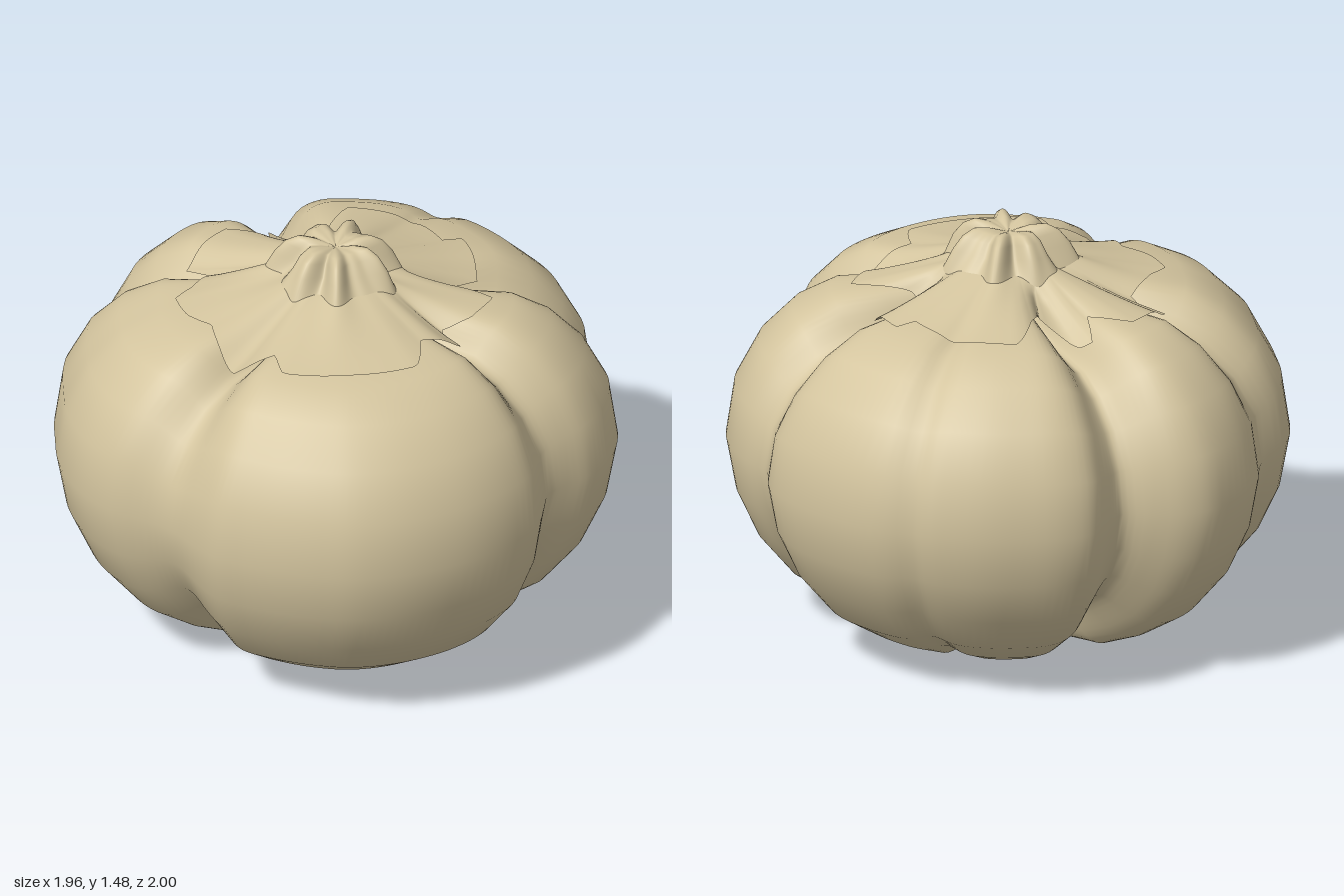
import * as THREE from 'three';

// Plan outline (x, z) of the lobed bulb at its widest height, from the front round past +x
const OUTLINE = [
  [0, 1], [0.15, 0.99], [0.3, 0.95], [0.45, 0.88], [0.58, 0.78], [0.66, 0.68], [0.69, 0.56], [0.71, 0.48],
  [0.78, 0.42], [0.87, 0.36], [0.93, 0.28], [0.97, 0.17], [0.98, 0.05], [0.96, -0.06], [0.92, -0.15], [0.9, -0.2],
  [0.92, -0.34], [0.87, -0.49], [0.76, -0.66], [0.62, -0.8], [0.52, -0.85], [0.46, -0.89], [0.3, -0.96],
  [0.15, -0.99], [0, -1], [-0.11, -0.97], [-0.19, -0.87], [-0.24, -0.82], [-0.34, -0.84], [-0.46, -0.86],
  [-0.56, -0.84], [-0.68, -0.74], [-0.76, -0.62], [-0.79, -0.51], [-0.82, -0.44], [-0.93, -0.3], [-0.97, -0.16],
  [-0.98, 0], [-0.98, 0.13], [-0.95, 0.27], [-0.9, 0.38], [-0.82, 0.48], [-0.7, 0.56], [-0.62, 0.63],
  [-0.55, 0.73], [-0.48, 0.82], [-0.38, 0.88], [-0.25, 0.94], [-0.12, 0.98],
];
// Side profile (radius factor, y), bottom to top
const PROFILE = [
  [0, 0.05], [0.1, 0.045], [0.2, 0.015], [0.3, 0.003], [0.46, 0.025], [0.62, 0.1], [0.77, 0.2], [0.89, 0.345], [0.965, 0.51],
  [1, 0.7], [0.97, 0.9], [0.885, 1.06], [0.765, 1.18], [0.63, 1.25], [0.45, 1.27], [0.25, 1.275], [0, 1.275],
];
// Grooves between lobes: angle from the front, depth, half width in degrees
const GROOVES = [[56, 0.8, 8], [102, 0.9, 8], [148, 0.2, 5], [196, 1, 9], [242, 0.75, 8], [315, 0.8, 8]];
// Ragged edge of the papery cap: angle, radius
const CAP_EDGE = [
  [0, 0.56], [26, 0.57], [37, 0.45], [54, 0.52], [58, 0.41], [67, 0.5], [82, 0.55], [93, 0.35], [100, 0.32],
  [104, 0.52], [125, 0.57], [128, 0.5], [150, 0.56], [172, 0.57], [180, 0.4], [192, 0.26], [197, 0.5],
  [202, 0.53], [208, 0.43], [218, 0.57], [242, 0.57], [245, 0.43], [263, 0.5], [270, 0.56], [283, 0.54],
  [294, 0.49], [318, 0.57], [330, 0.48], [337, 0.57], [360, 0.56],
];
const SEGMENTS = 196;

// Linear look-up in a table of [key, value] pairs with rising keys
function lookUp(table, key) {
  for (let i = 1; i < table.length; i++) {
    const [a, va] = table[i - 1], [b, vb] = table[i];
    if (key <= b) return va + ((vb - va) * (key - a)) / (b - a);
  }
  return table[table.length - 1][1];
}

function grooveAt(degrees) {
  let sum = 0;
  for (const [at, depth, width] of GROOVES) {
    const d = Math.abs(((degrees - at + 540) % 360) - 180);
    sum += depth * Math.exp(-((d / width) ** 2));
  }
  return sum;
}

// One spoke per outline sample
function makeSpokes() {
  const curve = new THREE.CatmullRomCurve3(OUTLINE.map(([x, z]) => new THREE.Vector3(x, 0, z)), true);
  return Array.from({ length: SEGMENTS }, (_, i) => {
    const p = curve.getPoint(i / SEGMENTS);
    const angle = Math.atan2(p.x, p.z);
    const degrees = ((angle * 180) / Math.PI + 360) % 360;
    return { angle, degrees, radius: Math.hypot(p.x, p.z), groove: grooveAt(degrees) };
  });
}

// Closed rings, lowest or outermost first; place(spoke, row) returns [radius, y]
function ringSurface(spokes, rows, place) {
  const positions = [], index = [], n = spokes.length;
  for (let r = 0; r < rows; r++) {
    for (const s of spokes) {
      const [radius, y] = place(s, r);
      positions.push(Math.sin(s.angle) * radius, y, Math.cos(s.angle) * radius);
    }
  }
  for (let r = 0; r < rows - 1; r++) {
    for (let i = 0; i < n; i++) {
      const a = r * n + i, b = r * n + ((i + 1) % n);
      index.push(a, b, b + n, a, b + n, a + n);
    }
  }
  const geometry = new THREE.BufferGeometry();
  geometry.setAttribute('position', new THREE.Float32BufferAttribute(positions, 3));
  geometry.setIndex(index);
  geometry.computeVertexNormals();
  return geometry;
}

export function createModel() {
  const group = new THREE.Group();
  group.name = 'bulb';
  const skin = new THREE.MeshStandardMaterial({ color: 0xd3c49e, side: THREE.DoubleSide });
  skin.name = 'pale skin';
  const spokes = makeSpokes();

  // Lobed body: grooves pull the top and bottom towards mid height
  const bodyY = (s, factor, y) => 0.7 + (y - 0.7) * (1 - 0.24 * s.groove * Math.min(1, factor / 0.3));
  const body = new THREE.Mesh(ringSurface(spokes, PROFILE.length, (s, r) => {
    const [factor, y] = PROFILE[r];
    return [factor * s.radius, bodyY(s, factor, y)];
  }), skin);
  body.name = 'lobedBody';
  group.add(body);

  // Ragged papery cap, draped loosely from the neck over the lobes
  const top = PROFILE.slice(9).reverse();
  const rib = (s) => Math.cos(7 * s.angle) + 0.5 * Math.cos(11 * s.angle + 1);
  const neckRadius = (s) => 0.21 + 0.025 * rib(s);
  const skirtRows = 6;
  const cap = new THREE.Mesh(ringSurface(spokes, skirtRows, (s, r) => {
    const t = r / (skirtRows - 1);
    const edge = lookUp(CAP_EDGE, s.degrees), inner = neckRadius(s);
    const edgeY = lookUp(top, edge / s.radius) + 0.008 - 0.07 * s.groove;
    const innerY = 1.355 - 0.03 * s.groove;
    return [edge + (inner - edge) * t, edgeY + (innerY - edgeY) * t ** 1.15];
  }), skin);
  cap.name = 'paperyCap';
  group.add(cap);

  // Short ribbed neck with a dimpled tip
  const neckProfile = [[1, 1.355], [0.8, 1.405], [0.66, 1.45], [0.5, 1.472], [0.3, 1.468], [0, 1.45]];
  const neck = new THREE.Mesh(ringSurface(spokes, neckProfile.length, (s, r) => {
    const [factor, y] = neckProfile[r];
    const drop = r === 0 ? 0.03 * s.groove : 0;
    return [neckRadius(s) * factor * (1 + 0.06 * rib(s)* Math.min(r, 1)), y - drop + (r > 0 && r < 5 ? 0.006 * rib(s) : 0)];
  }), skin);
  neck.name = 'ribbedNeck';
  group.add(neck);

  return group;
}
